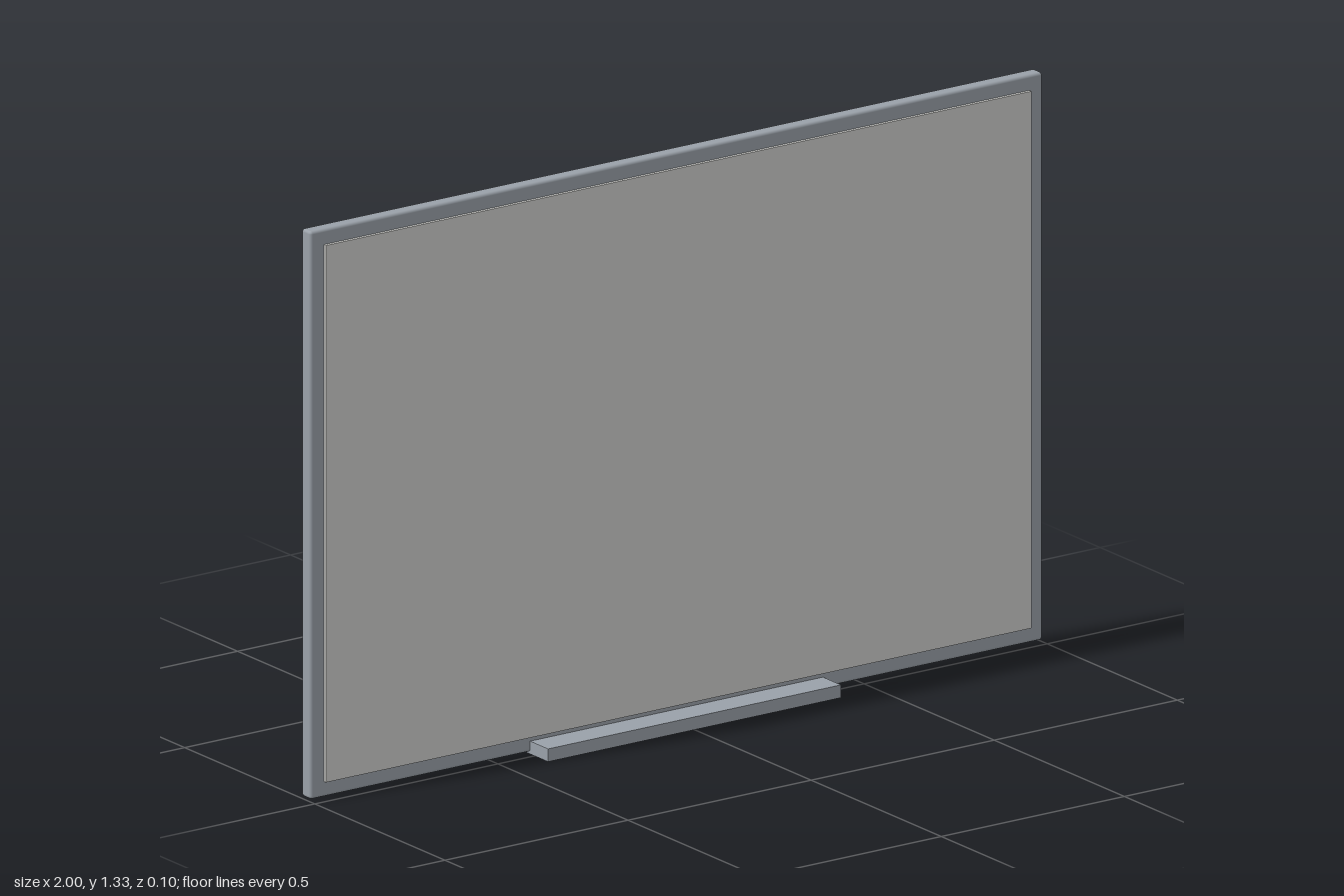
import * as THREE from 'three';
import { RoundedBoxGeometry } from 'three/addons/geometries/RoundedBoxGeometry.js';

export function createModel() {
  const group = new THREE.Group();
  const metal = new THREE.MeshStandardMaterial({ color: 0x9aa1a9 });
  metal.name = 'grey metal';
  const white = new THREE.MeshStandardMaterial({ color: 0xd0d0cd });
  white.name = 'off-white surface';

  // Adds a part from its minimum and maximum corners; radius softens its edges
  function addPart(name, material, min, max, radius = 0) {
    const [w, h, d] = max.map((v, i) => v - min[i]);
    const geometry = radius
      ? new RoundedBoxGeometry(w, h, d, 2, radius)
      : new THREE.BoxGeometry(w, h, d);
    const mesh = new THREE.Mesh(geometry, material);
    mesh.position.set(...max.map((v, i) => (v + min[i]) / 2));
    mesh.name = name;
    group.add(mesh);
  }

  // Backing frame with softened edges
  addPart('frame', metal, [-1, 0.005, -0.052], [1, 1.333, -0.017], 0.007);
  // Raised writing surface
  addPart('writingSurface', white, [-0.963, 0.041, -0.03], [0.963, 1.297, -0.009]);
  // Pen tray along the bottom edge
  addPart('penTray', metal, [-0.4, 0, -0.03], [0.4, 0.03, 0.052]);

  return group;
}
